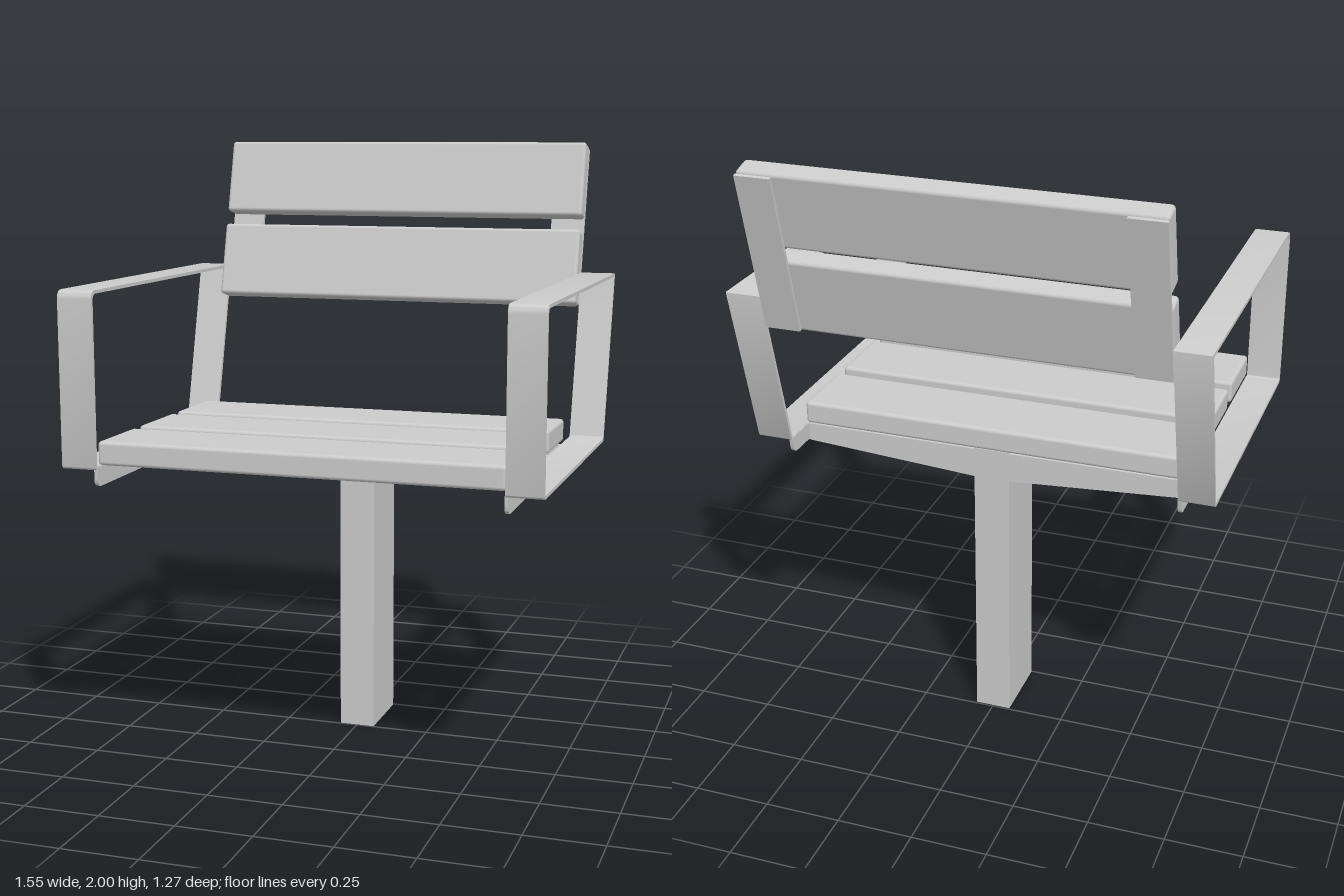
import * as THREE from 'three';
import { toCreasedNormals } from 'three/addons/utils/BufferGeometryUtils.js';
import { RoundedBoxGeometry } from 'three/addons/geometries/RoundedBoxGeometry.js';

const material = new THREE.MeshStandardMaterial({ color: 0xcccccc });
const TILT = 0.258; // backward lean of the backrest

// Traces a polygon with rounded corners; each point is [u, v, radius]
function roundedPath(path, points) {
  const n = points.length;
  points.forEach(([x, y, r], i) => {
    const corner = new THREE.Vector2(x, y);
    const towards = (p) => new THREE.Vector2(p[0], p[1]).sub(corner).setLength(r).add(corner);
    const a = towards(points[(i + n - 1) % n]);
    const b = towards(points[(i + 1) % n]);
    if (i === 0) path.moveTo(a.x, a.y);
    else path.lineTo(a.x, a.y);
    if (r > 0) path.quadraticCurveTo(x, y, b.x, b.y);
  });
  path.closePath();
  return path;
}

function extrude(shape, depth) {
  const geometry = new THREE.ExtrudeGeometry(shape, { depth, bevelEnabled: false, curveSegments: 8 });
  geometry.translate(0, 0, -depth / 2);
  return toCreasedNormals(geometry, 0.6);
}

// Side profile drawn in (z, y), extruded across x
const extrudeSide = (shape, width) => extrude(shape, width).rotateY(-Math.PI / 2);

export function createModel() {
  const group = new THREE.Group();
  const add = (name, geometry, x = 0, y = 0, z = 0, rx = 0) => {
    const mesh = new THREE.Mesh(geometry, material);
    mesh.name = name;
    mesh.position.set(x, y, z);
    mesh.rotation.x = rx;
    group.add(mesh);
  };

  // Hollow rectangular post, open at the bottom (outlines counter-clockwise, holes clockwise)
  const postShape = roundedPath(new THREE.Shape(), [
    [-0.06, -0.12, 0], [0.06, -0.12, 0], [0.06, 0.12, 0], [-0.06, 0.12, 0]]);
  postShape.holes.push(roundedPath(new THREE.Path(), [
    [-0.056, -0.116, 0], [-0.056, 0.116, 0], [0.056, 0.116, 0], [0.056, -0.116, 0]]));
  add('post', extrude(postShape, 0.985).rotateX(-Math.PI / 2), 0, 0.4925, -0.124);
  add('postCap', new THREE.BoxGeometry(0.12, 0.01, 0.24), 0, 0.99, -0.124);

  // Tapered cross beams under the seat
  const beam = roundedPath(new THREE.Shape(), [
    [-0.66, 0.99, 0], [-0.66, 0.93, 0.01], [-0.06, 0.89, 0], [0.06, 0.89, 0],
    [0.66, 0.93, 0.01], [0.66, 0.99, 0]]);
  for (const z of [-0.02, -0.232]) add('crossBeam', extrude(beam, 0.018), 0, 0, z);

  // Seat slats
  for (const z of [0.493, 0.184, -0.126]) {
    add('seatSlat', new RoundedBoxGeometry(1.315, 0.077, 0.26, 3, 0.012), 0, 1.037, z);
  }

  // Backrest slats
  for (const [y, z] of [[1.865, -0.558], [1.568, -0.476]]) {
    add('backSlat', new RoundedBoxGeometry(1.315, 0.26, 0.074, 3, 0.012), 0, y, z, -TILT);
  }

  // Flat-bar loop forming armrest, front upright, seat edge and rear upright
  const loop = roundedPath(new THREE.Shape(), [
    [-0.524, 1.55, 0.003], [-0.372, 0.983, 0.015], [0.638, 0.983, 0.015], [0.638, 1.55, 0.03]]);
  loop.holes.push(roundedPath(new THREE.Path(), [
    [0.627, 1.539, 0.022], [0.627, 0.994, 0.008], [-0.363, 0.994, 0.008], [-0.509, 1.539, 0]]));

  // Side rail plate with rounded lower corners
  const rail = roundedPath(new THREE.Shape(), [
    [-0.37, 0.993, 0], [-0.36, 0.935, 0.025], [0.63, 0.93, 0.025], [0.63, 0.993, 0]]);

  for (const side of [-1, 1]) {
    add('armLoop', extrudeSide(loop, 0.117), side * 0.716, 0, 0);
    add('sideRail', extrudeSide(rail, 0.012), side * 0.661, 0, 0);
    // Strap carrying the backrest slats
    add('backStrap', new THREE.BoxGeometry(0.117, 0.55, 0.012), side * 0.598, 1.705, -0.56, -TILT);
  }
  return group;
}
